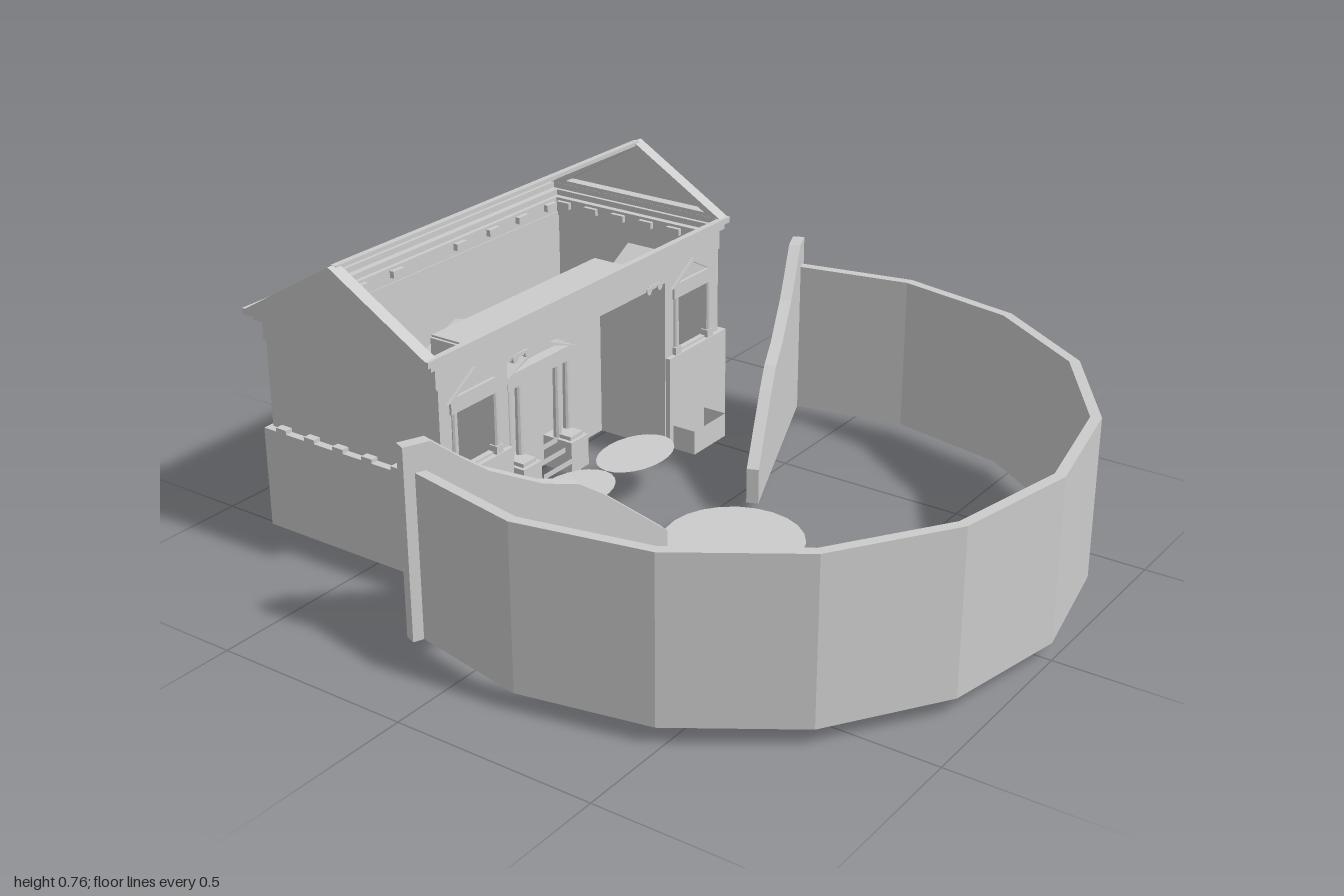
import * as THREE from 'three';

const mat = new THREE.MeshStandardMaterial({ color: 0xcccccc, flatShading: true, side: THREE.DoubleSide });

export function createModel() {
  const root = new THREE.Group();

  const add = (name, geo, parent = root) => {
    const m = new THREE.Mesh(geo, mat);
    m.name = name;
    parent.add(m);
    return m;
  };
  const group = (name) => {
    const g = new THREE.Group();
    g.name = name;
    root.add(g);
    return g;
  };
  // Box given by its limits
  const box = (name, x0, x1, y0, y1, z0, z1, parent) =>
    add(name, new THREE.BoxGeometry(Math.abs(x1 - x0), y1 - y0, z1 - z0), parent)
      .position.set((x0 + x1) / 2, (y0 + y1) / 2, (z0 + z1) / 2);
  // Rectangular frame of four bars, symmetric in x
  const frame = (name, x, y0, y1, z0, z1, tx, tz, parent) => {
    box(name, -x, x, y0, y1, z0, z0 + tz, parent);
    box(name, -x, x, y0, y1, z1 - tz, z1, parent);
    for (const s of [-1, 1]) box(name, s * (x - tx), s * x, y0, y1, z0 + tz, z1 - tz, parent);
  };
  // Upright sheet between two ground points
  const sheet = (name, xa, za, xb, zb, y0, y1, parent) => {
    const m = add(name, new THREE.PlaneGeometry(Math.hypot(xb - xa, zb - za), y1 - y0), parent);
    m.position.set((xa + xb) / 2, (y0 + y1) / 2, (za + zb) / 2);
    m.rotation.y = Math.atan2(za - zb, xb - xa);
  };
  const points = (pts) => pts.map(([x, y]) => new THREE.Vector2(x, y));
  const shapeOf = (pts) => new THREE.Shape(points(pts));
  const extrude = (shape, depth) => new THREE.ExtrudeGeometry(shape, { depth, bevelEnabled: false });
  // Gable prism running along z, hollowed to a rim when t is given
  const gable = (name, x, w, yEave, yTop, z0, z1, t, parent) => {
    const s = shapeOf([[-w, yEave], [w, yEave], [0, yTop]]);
    if (t) s.holes.push(new THREE.Path(points([[-w + 3 * t, yEave + t], [0, yTop - t * 1.3], [w - 3 * t, yEave + t]])));
    add(name, extrude(s, z1 - z0), parent).position.set(x, 0, z0);
  };

  // Auditorium: part of a sixteen-sided ring around the orchestra
  const arc = (r) => Array.from({ length: 11 }, (_, i) => {
    const a = (i - 1) * Math.PI / 8;
    return [r * Math.cos(a), 0.17 + r * Math.sin(a)];
  });
  const ring = extrude(shapeOf([...arc(0.828), ...arc(0.802).reverse()]), 0.402);
  ring.rotateX(Math.PI / 2).translate(0, 0.445, 0);
  add('auditoriumWall', ring);

  // Sloping end walls of the auditorium
  const profile = [[0, 0.043], [0.65, 0.043], [0.65, 0.135], [0.48, 0.275], [0.42, 0.315], [0.33, 0.34],
    [0.2, 0.405], [0.145, 0.445], [0.065, 0.51], [0, 0.51]];
  for (const s of [-1, 1]) {
    const m = add('auditoriumEndWall', extrude(shapeOf(profile), 0.03).translate(0, 0, -0.015));
    m.position.set(s * 0.787, 0, -0.152);
    m.rotation.y = Math.atan2(-0.253, -s * 0.602);
  }

  // Orchestra and the two raised oval floors before the stage
  const disc = (name, x, y, z, rx, rz) => {
    const m = add(name, new THREE.CircleGeometry(1, 24).rotateX(-Math.PI / 2).scale(rx, 1, rz));
    m.position.set(x, y, z);
  };
  disc('orchestra', 0, 0.045, 0.17, 0.172, 0.172);
  for (const s of [-1, 1]) disc('ovalFloor', s * 0.124, 0.12, -0.208, 0.123, 0.082);

  // Stage house: lower storey with an open middle
  const house = group('stageHouse');
  box('lowerBackWall', -0.57, 0.57, 0.045, 0.3, -0.785, -0.755, house);
  for (const s of [-1, 1]) {
    box('lowerSideWall', s * 0.54, s * 0.57, 0.045, 0.3, -0.755, -0.237, house);
    box('lowerFrontWall', s * 0.315, s * 0.54, 0.045, 0.3, -0.26, -0.237, house);
    box('sideRoomBackWall', s * 0.322, s * 0.54, 0.045, 0.3, -0.47, -0.455, house);
    box('recessSideWall', s * 0.312, s * 0.322, 0.045, 0.52, -0.47, -0.25, house);
    box('upperSideWall', s * 0.53, s * 0.55, 0.3, 0.535, -0.77, -0.25, house);
  }
  box('upperBackWall', -0.55, 0.55, 0.3, 0.535, -0.775, -0.755, house);

  // Upper front wall with the recess and two niches cut out
  const front = shapeOf([[-0.55, 0.3], [-0.315, 0.3], [-0.315, 0.505], [0.315, 0.505], [0.315, 0.3], [0.55, 0.3], [0.55, 0.59], [-0.55, 0.59]]);
  for (const s of [-1, 1]) {
    front.holes.push(new THREE.Path(points([[s * 0.365, 0.305], [s * 0.495, 0.305], [s * 0.495, 0.46], [s * 0.365, 0.46]])));
  }
  add('upperFrontWall', extrude(front, 0.015), house).position.z = -0.265;

  // Stage recess: ceiling, back wall, scroll brackets
  box('recessCeiling', -0.315, 0.315, 0.505, 0.525, -0.472, -0.25, house);
  box('recessBackWall', -0.315, 0.315, 0.045, 0.505, -0.47, -0.455, house);
  for (const s of [-1, 1]) {
    for (const x of [0.24, 0.285]) {
      const c = add('scrollBracket', new THREE.CylinderGeometry(0.01, 0.01, 0.02, 10).rotateX(Math.PI / 2), house);
      c.position.set(s * x, 0.507, -0.255);
    }
    box('bracketBar', s * 0.24, s * 0.285, 0.51, 0.518, -0.262, -0.246, house);
  }

  // Cornice, eaves frame and blocks
  frame('frieze', 0.556, 0.525, 0.575, -0.778, -0.25, 0.03, 0.02, house);
  frame('cornice', 0.573, 0.575, 0.59, -0.788, -0.246, 0.03, 0.018, house);
  frame('eaves', 0.588, 0.59, 0.605, -0.805, -0.24, 0.035, 0.017, house);
  for (const x of [0.12, 0.25, 0.37, 0.49]) for (const s of [-1, 1]) {
    box('innerBlock', s * x - 0.02, s * x + 0.02, 0.55, 0.568, -0.765, -0.745, house);
    box('backBlock', s * x - 0.016, s * x + 0.016, 0.3, 0.31, -0.785, -0.77, house);
  }
  for (const s of [-1, 1]) for (let i = 0; i < 6; i++) {
    const z = -0.73 + i * 0.09;
    box('innerBlock', s * 0.515, s * 0.535, 0.55, 0.568, z - 0.02, z + 0.02, house);
    box('sideBlock', s * 0.545, s * 0.57, 0.3, 0.31, z - 0.016, z + 0.016, house);
  }

  // Open roof: pediments at both ends joined by a ridge beam
  const roof = group('roof');
  const tri = shapeOf([[-0.282, 0.6], [0.282, 0.6], [0, 0.765]]);
  const rake = tri.clone();
  rake.holes.push(new THREE.Path(points([[-0.225, 0.615], [0, 0.747], [0.225, 0.615]])));
  const side = (name, shape, depth, x) => {
    const m = add(name, extrude(shape, depth).translate(0, 0, -depth / 2).rotateY(Math.PI / 2), roof);
    m.position.set(x, 0, -0.522);
  };
  for (const s of [-1, 1]) {
    side('pedimentFrame', rake, 0.033, s * 0.57);
    side('pedimentPanel', tri, 0.006, s * 0.585);
  }
  box('ridgeBeam', -0.57, 0.57, 0.754, 0.764, -0.53, -0.514, roof);

  // Niches with columns and small gables
  const niches = group('niches');
  for (const s of [-1, 1]) {
    const cx = s * 0.43;
    gable('nicheRoof', cx, 0.093, 0.485, 0.537, -0.45, -0.262, 0, niches);
    gable('nichePediment', cx, 0.095, 0.482, 0.54, -0.262, -0.242, 0.009, niches);
    box('nicheLintel', cx - 0.085, cx + 0.085, 0.452, 0.482, -0.265, -0.244, niches);
    box('nicheBackWall', cx - 0.085, cx + 0.085, 0.3, 0.485, -0.45, -0.44, niches);
    for (const e of [-1, 1]) {
      box('nicheSideWall', cx + e * 0.078, cx + e * 0.086, 0.3, 0.485, -0.44, -0.262, niches);
      box('nicheColumnBase', cx + e * 0.06, cx + e * 0.084, 0.3, 0.32, -0.262, -0.24, niches);
      add('nicheColumn', new THREE.CylinderGeometry(0.008, 0.009, 0.14, 10), niches).position.set(cx + e * 0.072, 0.385, -0.25);
    }
  }

  // Middle portico with gable, columns, pedestals and open steps
  const portico = group('portico');
  gable('porticoRoof', 0, 0.135, 0.365, 0.415, -0.675, -0.43, 0, portico);
  gable('porticoPediment', 0, 0.14, 0.36, 0.42, -0.43, -0.4, 0.01, portico);
  box('porticoLintel', -0.13, 0.13, 0.33, 0.362, -0.46, -0.402, portico);
  for (const s of [-1, 1]) {
    for (const x of [0.075, 0.115]) {
      add('porticoColumn', new THREE.CylinderGeometry(0.009, 0.011, 0.2, 10), portico).position.set(s * x, 0.23, -0.415);
    }
    box('pedestal', s * 0.06, s * 0.13, 0.045, 0.13, -0.45, -0.36, portico);
    box('pedestalCap', s * 0.07, s * 0.12, 0.13, 0.14, -0.42, -0.37, portico);
    sheet('stagePodium', s * 0.33, -0.17, s * 0.47, -0.17, 0.045, 0.11, portico);
    for (const x of [0.33, 0.47]) sheet('stagePodium', s * x, -0.17, s * x, -0.237, 0.045, 0.11, portico);
  }
  for (let i = 0; i < 4; i++) {
    const z = -0.33 - i * 0.025;
    sheet('stepRiser', -0.06, z, 0.06, z, 0.055 + i * 0.022, 0.07 + i * 0.022, portico);
  }

  // Rear porch: beam frame through the back wall, sloping bars, column heads
  const porch = group('rearPorch');
  frame('porchBeam', 0.342, 0.25, 0.265, -0.92, -0.597, 0.016, 0.012, porch);
  box('porchCrossBar', -0.342, 0.342, 0.25, 0.265, -0.757, -0.748, porch);
  for (const x of [-0.315, -0.19, 0, 0.19, 0.315]) box('columnHead', x - 0.012, x + 0.012, 0.236, 0.25, -0.912, -0.886, porch);
  for (const s of [-1, 1]) {
    const bar = add('slopingBar', new THREE.BoxGeometry(0.016, 0.013, 0.165), porch);
    bar.position.set(s * 0.334, 0.304, -0.842);
    bar.rotation.x = -Math.atan2(0.08, 0.14);
  }

  // Rear podium and steps, made of upright faces only
  const podium = group('rearPodium');
  for (const s of [-1, 1]) {
    sheet('podiumSide', s * 0.333, -0.705, s * 0.333, -0.925, 0, 0.065, podium);
    sheet('podiumFront', s * 0.333, -0.925, s * 0.18, -0.925, 0, 0.065, podium);
    sheet('podiumInnerSide', s * 0.3, -0.705, s * 0.3, -0.88, 0.035, 0.065, podium);
    for (const x of [0.31, 0.19]) sheet('podiumPost', s * (x - 0.013), -0.9, s * (x + 0.013), -0.9, 0.06, 0.08, podium);
    for (let i = 0; i < 4; i++) {
      sheet('stepCheek', s * 0.18, -0.9 - i * 0.025, s * 0.18, -0.925 - i * 0.025, 0, 0.065 - i * 0.012, podium);
    }
  }
  sheet('podiumInnerEnd', -0.333, -0.705, 0.333, -0.705, 0, 0.035, podium);
  for (let i = 0; i < 4; i++) {
    const z = -1 + i * 0.025;
    sheet('rearStepRiser', -0.18, z, 0.18, z, i * 0.016, 0.016 + i * 0.016, podium);
  }
  return root;
}
